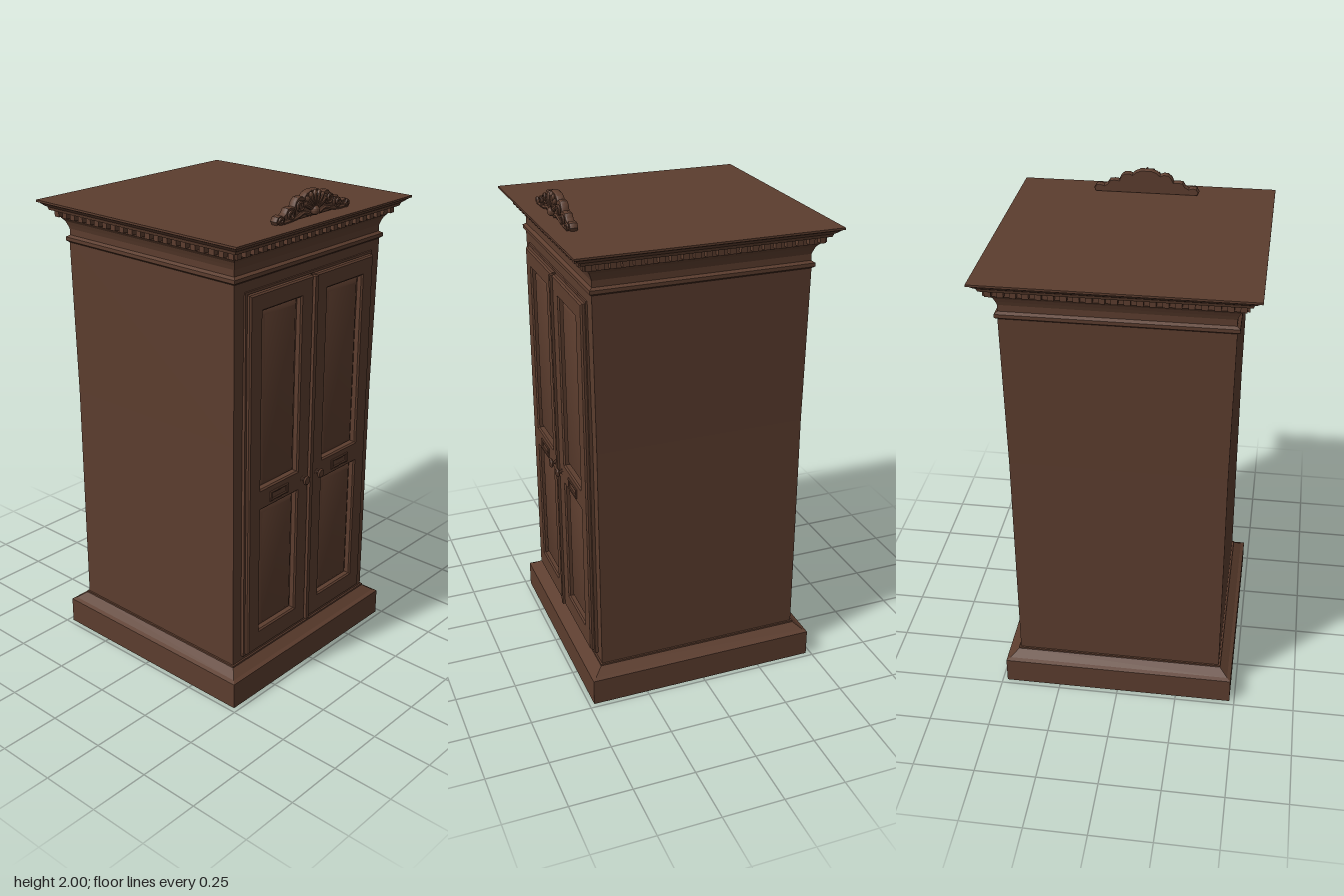
import * as THREE from 'three';
import { toCreasedNormals } from 'three/addons/utils/BufferGeometryUtils.js';

export function createModel() {
  const wood = new THREE.MeshStandardMaterial({ color: 0x5c3d2e });
  wood.name = 'dark walnut';
  const model = new THREE.Group();
  model.name = 'wardrobe';

  const add = (parent, name, geometry, x = 0, y = 0, z = 0) => {
    const mesh = new THREE.Mesh(toCreasedNormals(geometry, 0.6), wood);
    mesh.name = name;
    mesh.position.set(x, y, z);
    parent.add(mesh);
    return mesh;
  };
  const box = (parent, name, w, h, d, x, y, z) =>
    add(parent, name, new THREE.BoxGeometry(w, h, d), x, y, z);

  // Square moulding: [half width, height] pairs swept around four sides
  const squareSweep = (name, profile) => {
    const points = profile.map(([r, y]) => new THREE.Vector2(r * Math.SQRT2, y));
    const geometry = new THREE.LatheGeometry(points, 4, Math.PI / 4).toNonIndexed();
    geometry.computeVertexNormals();
    const mesh = new THREE.Mesh(geometry, wood);
    mesh.name = name;
    model.add(mesh);
  };

  // Rectangle outline from corner to corner
  const rect = (Type, x0, y0, x1, y1) => new Type([
    new THREE.Vector2(x0, y0), new THREE.Vector2(x1, y0),
    new THREE.Vector2(x1, y1), new THREE.Vector2(x0, y1),
  ]);
  const bevelled = (shape, depth, size, thick) => new THREE.ExtrudeGeometry(shape, {
    depth, bevelEnabled: true, bevelSize: size, bevelThickness: thick,
    bevelOffset: -size, bevelSegments: 1, curveSegments: 6,
  });

  // Plinth, cabinet and stepped cornice
  squareSweep('plinth', [[0, 0], [0.48, 0], [0.48, 0.11], [0.465, 0.117], [0.432, 0.143], [0.432, 0.15], [0, 0.15]]);
  squareSweep('cabinet', [[0.425, 0.145], [0.425, 1.1], [0.432, 1.74]]);
  squareSweep('neckMoulding', [[0.425, 1.725], [0.442, 1.738], [0.442, 1.752], [0.43, 1.76], [0.43, 1.79]]);
  squareSweep('cornice', [
    [0.43, 1.785], [0.435, 1.8], [0.441, 1.815], [0.452, 1.828], [0.452, 1.86], [0.484, 1.86],
    [0.488, 1.872], [0.497, 1.878], [0.508, 1.888], [0.518, 1.892], [0.518, 1.9], [0, 1.9],
  ]);

  // Dentil blocks under the cornice on all four sides
  const dentils = new THREE.Group();
  dentils.name = 'dentils';
  model.add(dentils);
  for (let side = 0; side < 4; side++) {
    const row = new THREE.Group();
    row.name = 'dentilRow';
    row.rotation.y = side * Math.PI / 2;
    for (let i = 0; i < 21; i++) {
      box(row, 'dentil', 0.024, 0.024, 0.024, (i - 10) * 0.0452, 1.847, 0.461);
    }
    dentils.add(row);
  }

  // Surround framing the door opening
  const surround = rect(THREE.Shape, -0.378, 0.172, 0.378, 1.692);
  surround.holes.push(rect(THREE.Path, -0.368, 0.18, 0.368, 1.682));
  add(model, 'doorSurround', new THREE.ExtrudeGeometry(surround, { depth: 0.018, bevelEnabled: false }), 0, 0, 0.42);

  // Doors, each with two raised panels, a knob and a name plate frame
  const panels = [[0.262, 0.812], [0.888, 1.615]];
  const knobProfile = [[0.013, 0], [0.013, 0.003], [0.007, 0.006], [0.007, 0.012], [0.017, 0.017], [0.02, 0.022], [0.015, 0.028], [0, 0.03]];
  for (const s of [-1, 1]) {
    const door = new THREE.Group();
    door.name = s > 0 ? 'leftDoor' : 'rightDoor';
    model.add(door);

    const x0 = Math.min(s * 0.008, s * 0.368), x1 = Math.max(s * 0.008, s * 0.368);
    const p0 = Math.min(s * 0.073, s * 0.305), p1 = Math.max(s * 0.073, s * 0.305);
    const frame = rect(THREE.Shape, x0, 0.182, x1, 1.68);
    for (const [y0, y1] of panels) {
      frame.holes.push(rect(THREE.Path, p0 + 0.006, y0 + 0.006, p1 - 0.006, y1 - 0.006));
    }
    add(door, 'doorFrame', bevelled(frame, 0.024, 0.006, 0.006), 0, 0, 0.424);
    for (const [y0, y1] of panels) {
      const field = rect(THREE.Shape, p0 + 0.009, y0 + 0.009, p1 - 0.009, y1 - 0.009);
      add(door, 'raisedPanel', bevelled(field, 0.006, 0.02, 0.012), 0, 0, 0.424);
    }

    const knob = new THREE.LatheGeometry(knobProfile.map(([r, y]) => new THREE.Vector2(r, y)), 16);
    add(door, 'knob', knob.rotateX(Math.PI / 2), s * 0.045, 0.848, 0.452);

    const plate = rect(THREE.Shape, -0.055, -0.021, 0.055, 0.021);
    plate.holes.push(rect(THREE.Path, -0.04, -0.011, 0.04, 0.011));
    add(door, 'plateFrame', bevelled(plate, 0.004, 0.003, 0.003), s * 0.192, 0.846, 0.452);
  }
  box(model, 'meetingStrip', 0.018, 1.49, 0.03, 0, 0.93, 0.448);

  // Carved crest: lobed backing, fan of petals and mirrored scrolls
  const crest = new THREE.Group();
  crest.name = 'crest';
  crest.position.set(0, 1.9, 0.41);
  model.add(crest);
  const half = [
    [0.022, 0.098], [0.042, 0.09], [0.056, 0.078], [0.07, 0.084], [0.09, 0.082], [0.104, 0.068],
    [0.111, 0.052], [0.128, 0.054], [0.148, 0.052], [0.158, 0.036], [0.172, 0.028], [0.188, 0.034],
    [0.204, 0.03], [0.214, 0.014], [0.206, 0],
  ];
  const outline = [...half.map(([x, y]) => [-x, y]).reverse(), ...half];
  const backing = new THREE.Shape(outline.map(([x, y]) => new THREE.Vector2(x, y)));
  add(crest, 'crestBacking', bevelled(backing, 0.02, 0.003, 0.005));

  for (let i = -3; i <= 3; i++) {
    const petal = add(crest, 'fanPetal', new THREE.SphereGeometry(1, 10, 8).scale(0.011, 0.034, 0.011));
    const angle = i * 0.36;
    petal.position.set(Math.sin(angle) * 0.044, 0.026 + Math.cos(angle) * 0.04, 0.03);
    petal.rotation.z = -angle;
  }
  add(crest, 'fanBoss', new THREE.SphereGeometry(0.018, 12, 8), 0, 0.022, 0.032);

  const scroll = (x, y, radius, turn, s) => {
    const path = [];
    for (let i = 0; i <= 16; i++) {
      const a = turn + i * 0.55, r = radius * (1 - i / 20);
      path.push(new THREE.Vector3(s * (x + Math.cos(a) * r), y + Math.sin(a) * r, 0.029 + i * 0.0004));
    }
    add(crest, 'scroll', new THREE.TubeGeometry(new THREE.CatmullRomCurve3(path), 32, 0.006, 6));
  };
  for (const s of [-1, 1]) {
    scroll(0.085, 0.054, 0.024, 2.4, s);
    scroll(0.136, 0.03, 0.021, 2.2, s);
    scroll(0.192, 0.017, 0.015, 2.6, s);
    // Leaf stem linking the scrolls
    const stem = new THREE.CatmullRomCurve3([[0.025, 0.01], [0.06, 0.022], [0.1, 0.012], [0.14, 0.008], [0.18, 0.006]]
      .map(([x, y]) => new THREE.Vector3(s * x, y, 0.028)));
    add(crest, 'leafStem', new THREE.TubeGeometry(stem, 20, 0.008, 6));
  }

  return model;
}
